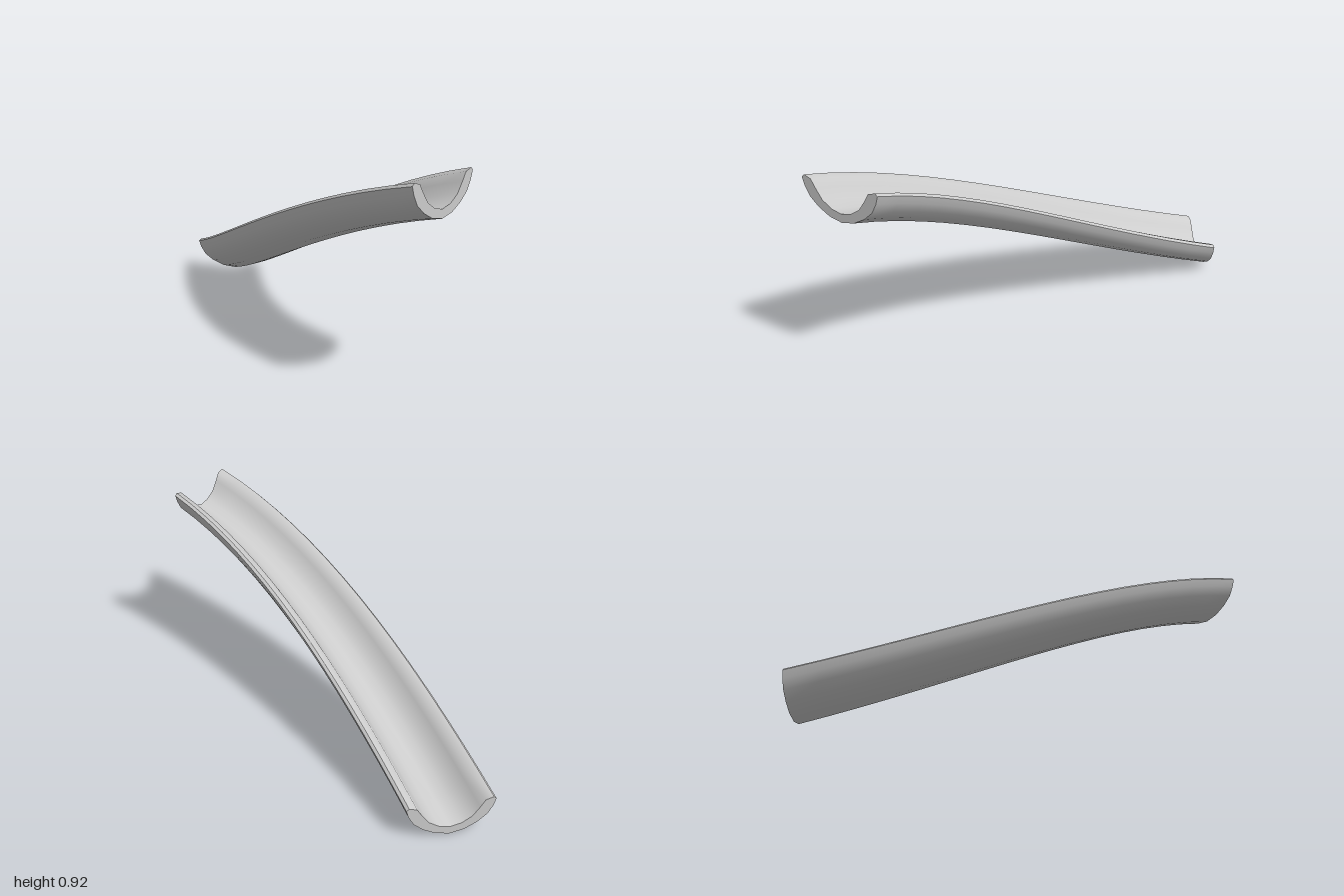
import * as THREE from 'three';
import { toCreasedNormals } from 'three/addons/utils/BufferGeometryUtils.js';

// Right half of the chute's cross-section: inner floor, rolled rim, outer belly
const half = [
  [0, 0.038], [0.05, 0.049], [0.096, 0.078], [0.128, 0.122], [0.15, 0.157], [0.185, 0.168],
  [0.197, 0.157], [0.186, 0.122], [0.163, 0.08], [0.12, 0.043], [0.064, 0.013], [0, 0],
];

function chuteProfile() {
  const mirrored = half.slice(1, -1).reverse().map(([x, y]) => [-x, y]);
  return new THREE.Shape([...half, ...mirrored].map(([x, y]) => new THREE.Vector2(x, y)));
}

// Plan path of the chute, from the high front end to the low back end
const path = new THREE.QuadraticBezierCurve(
  new THREE.Vector2(-0.343, 1), new THREE.Vector2(-0.2275, 0.0675), new THREE.Vector2(0.398, -0.862));

// Share of the drop reached at t: gentle at the top, steeper below
const drop = (t) => 0.62 * t * (1 - t) ** 2 + t * t * (3 - 2 * t) - 0.9 * t * t * (1 - t);

export function createModel() {
  const group = new THREE.Group();

  // Straight extrusion bent along the path; sections stay upright and turn 45 degrees
  const geometry = new THREE.ExtrudeGeometry(chuteProfile(), { depth: 1, steps: 16, bevelEnabled: false });
  const pos = geometry.attributes.position;
  for (let i = 0; i < pos.count; i++) {
    const t = 1 - pos.getZ(i);
    const centre = path.getPoint(t);
    const yaw = t * Math.PI / 4;
    const across = pos.getX(i);
    pos.setXYZ(i,
      centre.x + across * Math.cos(yaw),
      pos.getY(i) + 0.748 * (1 - drop(t)),
      centre.y + across * Math.sin(yaw));
  }

  const chute = new THREE.Mesh(
    toCreasedNormals(geometry, 0.95),
    new THREE.MeshStandardMaterial({ color: 0xcccccc }));
  chute.name = 'slideChute';
  group.add(chute);
  return group;
}
